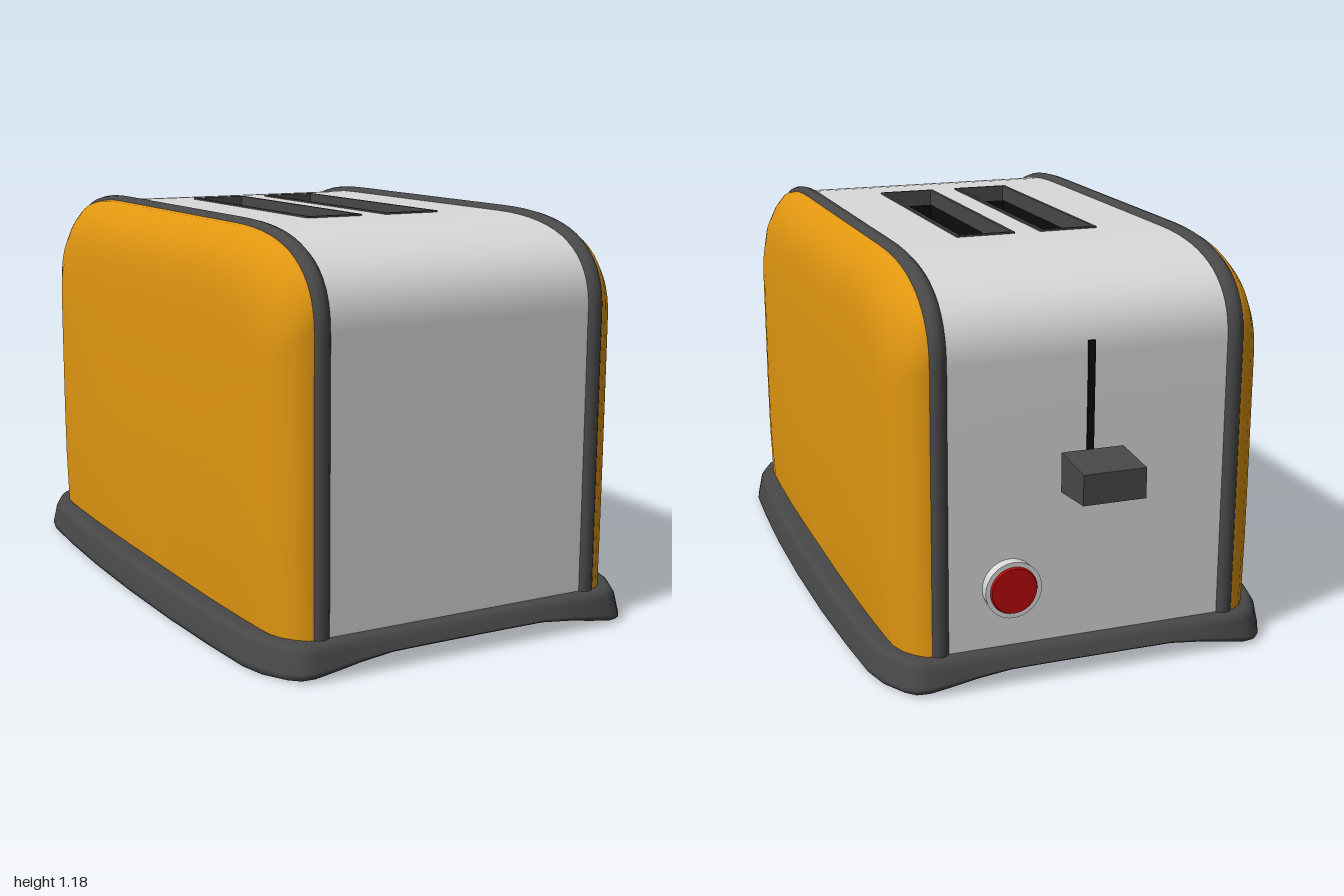
import * as THREE from 'three';

const ZC = 0.055; // body centre in z
const mat = (name, color, side = THREE.FrontSide) => {
  const m = new THREE.MeshStandardMaterial({ color, side });
  m.name = name;
  return m;
};

// Surface through equal-length rows of [x, y, z] points
function loft(rows) {
  const n = rows[0].length, index = [];
  for (let r = 0; r < rows.length - 1; r++)
    for (let i = 0; i < n - 1; i++) {
      const a = r * n + i, b = a + n;
      index.push(a, a + 1, b, a + 1, b + 1, b);
    }
  const g = new THREE.BufferGeometry();
  g.setAttribute('position', new THREE.Float32BufferAttribute(rows.flat(2), 3));
  g.setIndex(index);
  g.computeVertexNormals();
  return g;
}

// Front half of the side profile as [dz, y], inset by d: wall, then shoulder
function shoulder(d, steps = 16) {
  const h = 0.895 - d, top = 1.18 - d;
  const v = (x, y) => new THREE.Vector2(x, y);
  const curve = new THREE.CubicBezierCurve(v(h, 0.92), v(h, 1.09 - d / 2), v(0.75, top), v(0.43, top));
  const wall = [0.08, 0.3, 0.5, 0.72].map(y => [h, y]);
  return [...wall, ...curve.getPoints(steps).map(p => [p.x, p.y])];
}
function profile(d) {
  const front = shoulder(d), top = 1.18 - d;
  return [...front, [0.2, top], [0, top], [-0.2, top], ...front.map(([z, y]) => [-z, y]).reverse()];
}

const rect = (T, x0, y0, x1, y1) =>
  new T([[x0, y0], [x1, y0], [x1, y1], [x0, y1]].map(([x, y]) => new THREE.Vector2(x, y)));

export function createModel() {
  const orange = mat('orange enamel', 0xe09610, THREE.DoubleSide);
  const steel = mat('brushed steel', 0xdadada, THREE.DoubleSide);
  const dark = mat('dark grey plastic', 0x484848, THREE.DoubleSide);
  const black = mat('black', 0x0c0c0c, THREE.DoubleSide);
  const red = mat('red', 0xb80a0a);

  const model = new THREE.Group();
  const add = (name, geometry, material, parent = model) => {
    const m = new THREE.Mesh(geometry, material);
    m.name = name;
    parent.add(m);
    return m;
  };

  // Steel wrap: curved front and back, flat top with two slot openings
  for (const s of [1, -1]) {
    const half = shoulder(0.015);
    const rows = [-0.43, 0.43].map(x => half.map(([z, y]) => [x * s, y, ZC + z * s]));
    add(s > 0 ? 'frontShell' : 'backShell', loft(rows.reverse()), steel);
  }
  const slots = [[-0.22, -0.04], [0.04, 0.22]], zBack = -0.34, zFront = 0.45;
  const topShape = rect(THREE.Shape, -0.43, -ZC - 0.43, 0.43, -ZC + 0.43);
  for (const [a, b] of slots) topShape.holes.push(rect(THREE.Path, a, -zFront, b, -zBack));
  const top = add('topShell', new THREE.ShapeGeometry(topShape), steel);
  top.rotation.x = -Math.PI / 2;
  top.position.y = 1.165;

  // Bread slots: rim, black well and floor
  for (const [a, b] of slots) {
    const sleeve = (t, depth) => {
      const s = rect(THREE.Shape, a, -zFront, b, -zBack);
      s.holes.push(rect(THREE.Path, a + t, -zFront + t, b - t, -zBack - t));
      return new THREE.ExtrudeGeometry(s, { depth, bevelEnabled: false }).rotateX(-Math.PI / 2);
    };
    const slot = new THREE.Group();
    slot.name = 'breadSlot';
    model.add(slot);
    add('slotRim', sleeve(0.01, 0.05), dark, slot).position.y = 1.12;
    add('slotWell', sleeve(0.008, 0.5), black, slot).position.y = 0.62;
    add('slotFloor', new THREE.BoxGeometry(b - a, 0.01, zFront - zBack), black, slot)
      .position.set((a + b) / 2, 0.62, (zFront + zBack) / 2);
  }

  // Domed side panels with trim tubes; rows run from the rim to the panel middle
  const dome = [[0, 0.45], [0.005, 0.475], [0.03, 0.503], [0.07, 0.532], [0.12, 0.55],
    [0.18, 0.558], [0.3, 0.564], [0.5, 0.569], [0.75, 0.571], [1, 0.571]];
  for (const s of [1, -1]) {
    const side = s > 0 ? 'left' : 'right';
    const edge = profile(0.012);
    const rows = dome.map(([k, x]) => edge.map(([z, y]) => {
      const py = 0.08 + (y - 0.08) * (1 - k);
      const tuck = 0.011 * Math.max(0, (0.4 - py) / 0.3) ** 2 * Math.min(1, k * 5);
      return [s * (x - tuck), py, ZC + s * z * (1 - k)];
    }));
    add(side + 'Panel', loft(rows), orange);

    const path = new THREE.CatmullRomCurve3(
      profile(0.0275).map(([z, y]) => new THREE.Vector3(s * 0.438, y, ZC + z)), false, 'centripetal');
    add(side + 'Trim', new THREE.TubeGeometry(path, 120, 0.0275, 12), dark);
  }

  // Base skirt: chamfered outline, arched lower edge, recessed underside
  const quarter = [[0.638, 0], [0.634, 0.3], [0.623, 0.55], [0.61, 0.74], [0.59, 0.82], [0.55, 0.895],
    [0.525, 0.925], [0.49, 0.938], [0.42, 0.94], [0.35, 0.94], [0.25, 0.94], [0.12, 0.94], [0, 0.94]];
  const mirrored = quarter.slice(0, -1).reverse().map(([x, z]) => [-x, z]);
  const half = [...quarter, ...mirrored];
  const outline = [...half, ...half.slice(1).map(([x, z]) => [-x, -z])];
  const arch = x => 0.045 * (1 - THREE.MathUtils.smoothstep(Math.abs(x), 0.22, 0.6));
  const ring = (inset, height) => outline.map(([x, z]) => [
    x * (1 - inset / 0.638), height(arch(x)), ZC + 0.002 + z * (1 - inset / 0.94)]);
  add('baseSkirt', loft([
    ring(0.06, () => 0.095), ring(0.03, () => 0.095), ring(0.02, () => 0.09), ring(0.012, () => 0.075),
    ring(0.002, a => 0.02 + a * 0.75), ring(0, a => 0.01 + a * 0.9), ring(0.008, a => a),
    ring(0.025, a => a), ring(0.032, a => 0.01 + a), ring(0.04, () => 0.06)]), dark);
  add('baseTop', loft([ring(0.638, () => 0.095).map(() => [0, 0.095, ZC]), ring(0.05, () => 0.095)]), dark);
  add('underside', loft([ring(0.03, () => 0.052), ring(0.03, () => 0.052).map(() => [0, 0.052, ZC])]), dark);

  // Lever slit, stem and tapered knob on the back
  add('leverSlit', new THREE.BoxGeometry(0.02, 0.46, 0.008), black).position.set(0, 0.73, -0.827);
  add('leverStem', new THREE.BoxGeometry(0.016, 0.05, 0.06), dark).position.set(0, 0.59, -0.835);
  const knob = new THREE.BoxGeometry(0.184, 0.115, 0.155);
  const p = knob.attributes.position;
  for (let i = 0; i < p.count; i++) if (p.getZ(i) < 0) p.setY(i, p.getY(i) * 0.76);
  knob.computeVertexNormals();
  add('leverKnob', knob, dark).position.set(0, 0.598, -0.9225);

  // Round push button on the back
  const bezel = add('buttonBezel', new THREE.CylinderGeometry(0.083, 0.08, 0.04, 32), steel);
  const button = add('button', new THREE.CylinderGeometry(0.066, 0.07, 0.008, 32), red);
  bezel.rotation.x = button.rotation.x = -Math.PI / 2;
  bezel.position.set(0.235, 0.275, -0.84);
  button.position.set(0.235, 0.275, -0.863);

  return model;
}
